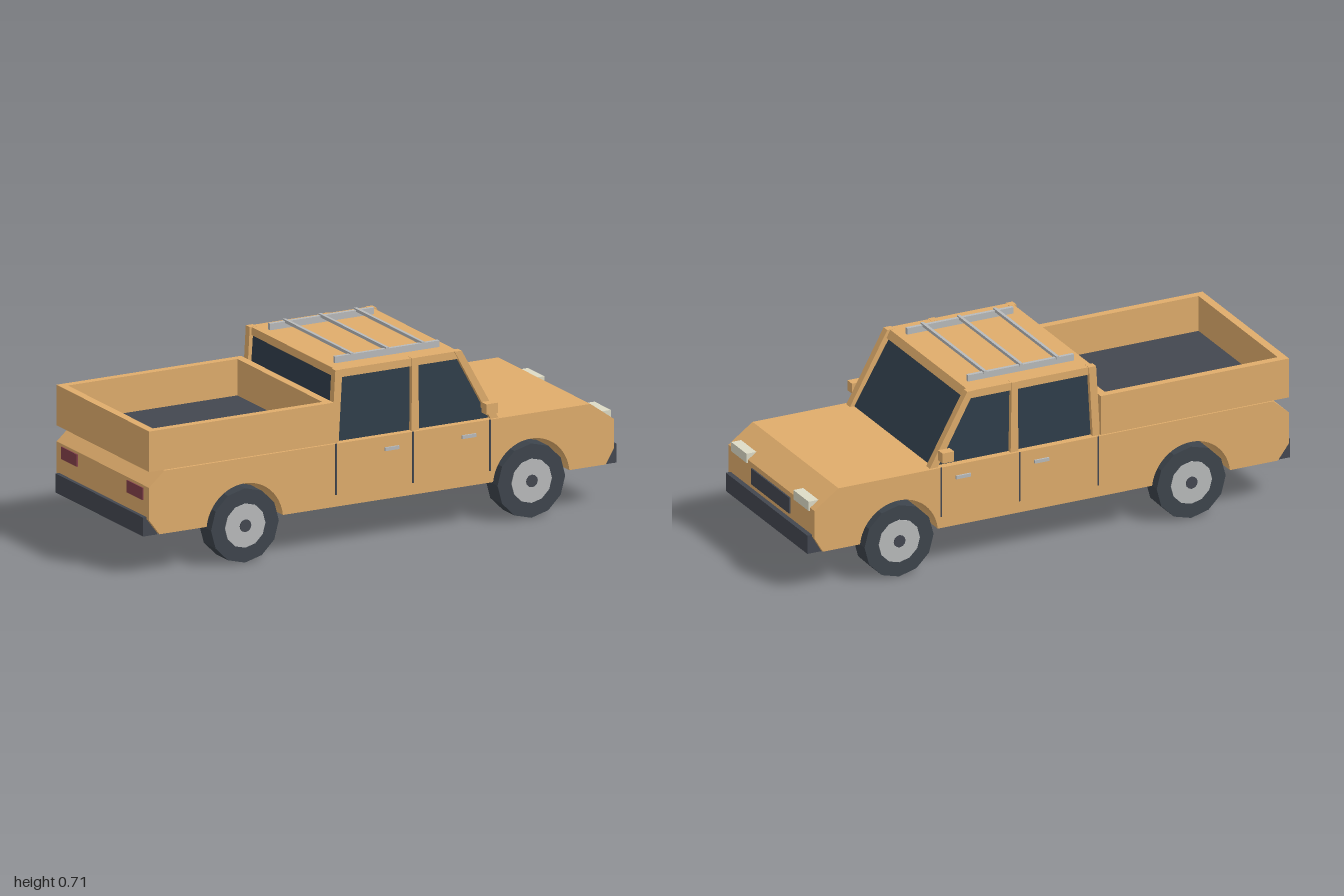
import * as THREE from 'three';

const mat = (color) => new THREE.MeshStandardMaterial({ color, flatShading: true });
const paint = mat(0xdfac6b), dark = mat(0x434750), glass = mat(0x2f3d4a), tyre = mat(0x3d444c);
const metal = mat(0xb8babb), lamp = mat(0xdddbc6), red = mat(0x84404a);

export function createModel() {
  const truck = new THREE.Group();
  truck.name = 'pickupTruck';

  const add = (name, geometry, material, parent = truck) => {
    const mesh = new THREE.Mesh(geometry, material);
    mesh.name = name;
    parent.add(mesh);
    return mesh;
  };
  // Box given by its limits on each axis
  const box = (name, material, x0, x1, y0, y1, z0, z1) => {
    const mesh = add(name, new THREE.BoxGeometry(x1 - x0, y1 - y0, Math.abs(z1 - z0)), material);
    mesh.position.set((x0 + x1) / 2, (y0 + y1) / 2, (z0 + z1) / 2);
    return mesh;
  };
  // Side profile extruded across the truck from z0 to z1
  const slab = (name, material, shape, z0, z1) => {
    const geometry = new THREE.ExtrudeGeometry(shape, { depth: z1 - z0, bevelEnabled: false, curveSegments: 12 });
    return add(name, geometry.translate(0, 0, z0), material);
  };
  const poly = (points) => new THREE.Shape(points.map(([x, y]) => new THREE.Vector2(x, y)));

  // Lower body with chamfered ends and wheel arches
  const axles = [-0.58, 0.63], axleY = 0.143, archR = 0.162, sill = 0.16;
  const body = new THREE.Shape();
  body.moveTo(-0.94, sill);
  const a = Math.asin((sill - axleY) / archR);
  for (const x of axles) {
    body.lineTo(x - archR * Math.cos(a), sill);
    body.absarc(x, axleY, archR, Math.PI - a, a, true);
  }
  [[0.945, sill], [0.98, 0.22], [0.98, 0.33], [0.88, 0.402], [-0.92, 0.402], [-0.985, 0.345], [-0.985, 0.22]]
    .forEach(([x, y]) => body.lineTo(x, y));
  body.closePath();
  slab('lowerBody', paint, body, -0.35, 0.35);

  // Cargo bed: floor, dark liner and four walls
  box('bedFloor', paint, -0.985, -0.205, 0.406, 0.416, -0.352, 0.352);
  box('bedLiner', dark, -0.955, -0.235, 0.414, 0.422, -0.322, 0.322);
  box('bedTailgate', paint, -0.985, -0.953, 0.41, 0.562, -0.352, 0.352);
  box('bedFrontWall', paint, -0.237, -0.205, 0.41, 0.562, -0.352, 0.352);

  // Cabin: glass block, roof and rear sill
  slab('cabinGlass', glass, poly([[-0.195, 0.4], [0.48, 0.4], [0.33, 0.655], [-0.178, 0.655]]), -0.322, 0.322);
  slab('roof', paint, poly([[-0.185, 0.65], [0.345, 0.65], [0.33, 0.68], [-0.183, 0.68]]), -0.335, 0.335);

  // Bumpers and grille
  box('frontBumper', dark, 0.94, 1, 0.155, 0.228, -0.332, 0.332);
  box('rearBumper', dark, -1, -0.94, 0.155, 0.228, -0.332, 0.332);
  box('grille', dark, 0.97, 0.986, 0.247, 0.31, -0.155, 0.155);

  // Roof rack crossbars
  for (const x of [-0.075, 0.075, 0.225]) box('rackCrossbar', metal, x - 0.006, x + 0.006, 0.699, 0.711, -0.257, 0.257);

  for (const s of [1, -1]) {
    // Low to high z limits on this side
    const zr = (near, far) => (s > 0 ? [near, far] : [-far, -near]);

    box('bedSideWall', paint, -0.985, -0.205, 0.41, 0.562, ...zr(0.322, 0.352));
    slab('frontPillar', paint, poly([[0.465, 0.4], [0.498, 0.4], [0.342, 0.681], [0.312, 0.681]]), ...zr(0.31, 0.34));
    slab('middlePillar', paint, poly([[0.13, 0.4], [0.162, 0.4], [0.158, 0.681], [0.132, 0.681]]), ...zr(0.31, 0.34));
    slab('rearPillar', paint, poly([[-0.208, 0.4], [-0.178, 0.4], [-0.162, 0.681], [-0.192, 0.681]]), ...zr(0.31, 0.34));

    box('headlight', lamp, 0.945, 0.986, 0.318, 0.355, ...zr(0.19, 0.315));
    box('tailLight', red, -0.99, -0.97, 0.288, 0.335, ...zr(0.19, 0.31));
    box('mirror', paint, 0.42, 0.468, 0.435, 0.475, ...zr(0.35, 0.387));
    box('mirrorArm', paint, 0.432, 0.452, 0.445, 0.462, ...zr(0.32, 0.355));

    // Door seams and handles
    for (const x of [-0.195, 0.13, 0.455]) box('doorSeam', dark, x - 0.003, x + 0.003, 0.205, 0.402, ...zr(0.345, 0.352));
    for (const x of [0.04, 0.365]) box('doorHandle', metal, x - 0.03, x + 0.03, 0.346, 0.359, ...zr(0.345, 0.357));

    // Roof rack rail
    box('rackRail', metal, -0.145, 0.295, 0.68, 0.705, ...zr(0.24, 0.254));

    // Wheels: tyre, rim and hub cap on both faces
    for (const x of axles) {
      const wheel = new THREE.Group();
      wheel.name = 'wheel';
      wheel.position.set(x, axleY, s * 0.306);
      wheel.rotation.x = Math.PI / 2;
      add('tyre', new THREE.CylinderGeometry(0.143, 0.143, 0.09, 12), tyre, wheel);
      add('rim', new THREE.CylinderGeometry(0.085, 0.085, 0.096, 12), metal, wheel);
      add('hubCap', new THREE.CylinderGeometry(0.024, 0.024, 0.102, 12), dark, wheel);
      truck.add(wheel);
    }
  }
  return truck;
}
